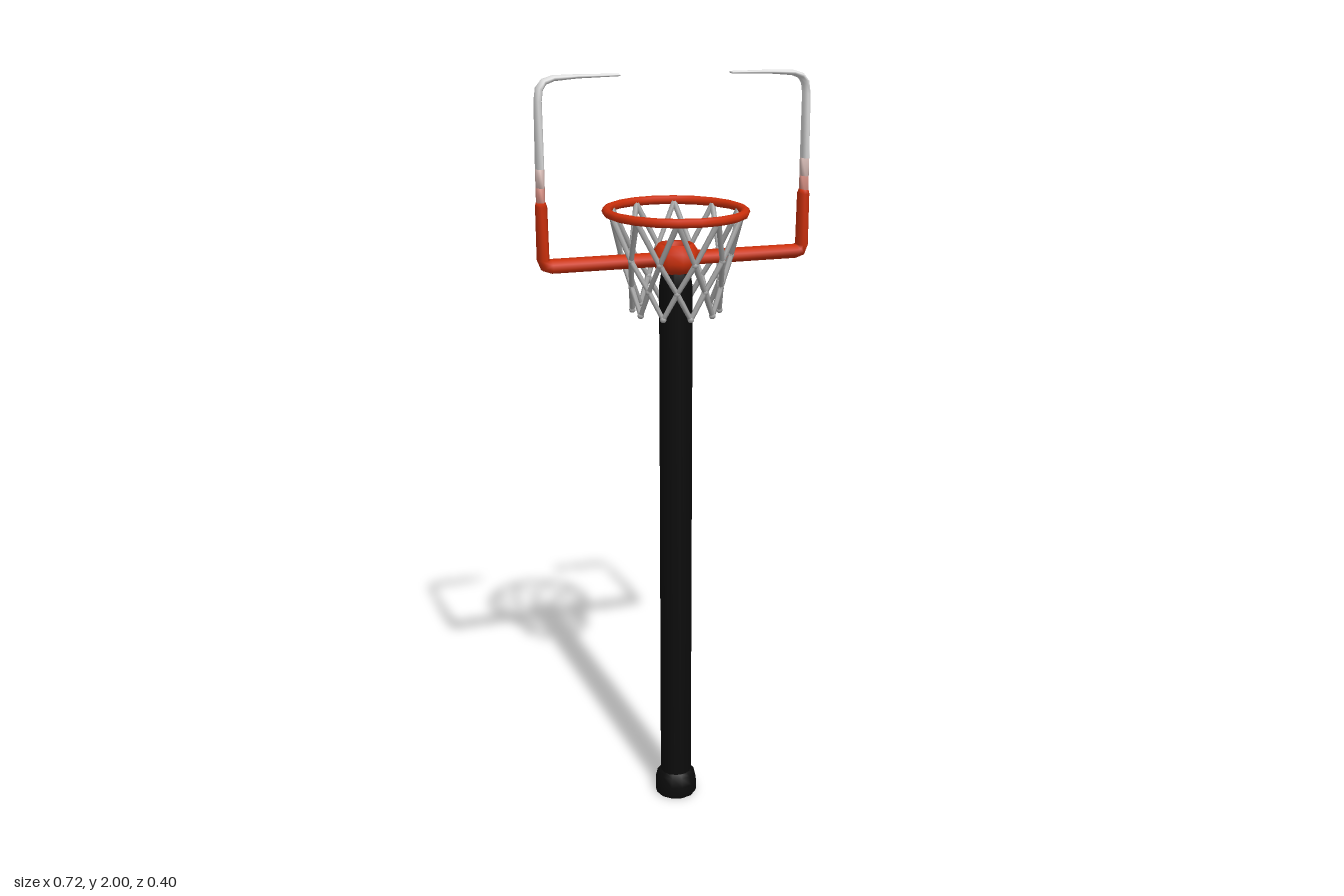
import * as THREE from 'three';

const mat = (name, color, extra = {}) => {
  const m = new THREE.MeshStandardMaterial({ color, ...extra });
  m.name = name;
  return m;
};

// Sweep an eight-sided oval along a path in the xy plane.
// Each point is [x, y, half thickness in plane, half depth in z].
function sweep(points, sides = 8) {
  const pos = [], index = [];
  const last = points.length - 1;
  points.forEach(([x, y, t, w], i) => {
    const a = points[Math.max(i - 1, 0)], b = points[Math.min(i + 1, last)];
    const d = new THREE.Vector2(b[0] - a[0], b[1] - a[1]).normalize();
    for (let j = 0; j < sides; j++) {
      const u = ((j + 0.5) / sides) * Math.PI * 2;
      const c = Math.cos(u) * t;
      pos.push(x - d.y * c, y + d.x * c, Math.sin(u) * w);
    }
  });
  for (let i = 0; i < last; i++) {
    for (let j = 0; j < sides; j++) {
      const p = i * sides + j, q = i * sides + ((j + 1) % sides);
      index.push(p, q, p + sides, q, q + sides, p + sides);
    }
  }
  // end caps
  for (let j = 1; j < sides - 1; j++) {
    const e = last * sides;
    index.push(0, j + 1, j, e, e + j, e + j + 1);
  }
  const g = new THREE.BufferGeometry();
  g.setAttribute('position', new THREE.Float32BufferAttribute(pos, 3));
  g.setIndex(index);
  g.computeVertexNormals();
  return g;
}

export function createModel() {
  const root = new THREE.Group();
  root.name = 'hoopOnPole';
  const black = mat('black', 0x0b0b0b);
  const orange = mat('orange', 0xcc300c, { side: THREE.DoubleSide });
  const white = mat('white', 0xe2e2e2);
  const pink = mat('fadedOrange', 0xdc9488);
  const palePink = mat('palePink', 0xe0c4be);
  const grey = mat('netGrey', 0xa6a6a6);

  const add = (name, geometry, material, parent = root) => {
    const m = new THREE.Mesh(geometry, material);
    m.name = name;
    parent.add(m);
    return m;
  };
  const lathe = (pts, sides) =>
    new THREE.LatheGeometry(pts.map(([r, y]) => new THREE.Vector2(r, y)), sides);

  // Pole with its foot collar
  add('pole', lathe([[0.043, 0.04], [0.043, 1.47], [0.03, 1.55], [0, 1.55]], 16), black);
  add('footCollar', lathe(
    [[0, 0], [0.056, 0], [0.059, 0.008], [0.059, 0.035], [0.053, 0.06], [0.043, 0.07]], 12), black);

  // Open hub on top of the pole
  add('hub', lathe(
    [[0.036, 1.505], [0.052, 1.515], [0.06, 1.535], [0.058, 1.56], [0.045, 1.58], [0.033, 1.578], [0.03, 1.55]], 10), orange);

  // Two mirrored brackets: arm, upright and tapering hooked tip
  for (const side of [1, -1]) {
    const bracket = new THREE.Group();
    bracket.name = side > 0 ? 'leftBracket' : 'rightBracket';
    bracket.rotation.y = side > 0 ? 0 : Math.PI;
    root.add(bracket);
    add('arm', sweep([
      [0.035, 1.541, 0.018, 0.028], [0.325, 1.541, 0.018, 0.027], [0.338, 1.545, 0.018, 0.027],
      [0.345, 1.558, 0.015, 0.026], [0.346, 1.69, 0.014, 0.026], [0.347, 1.7, 0.011, 0.022],
    ]), orange, bracket);
    add('fadedBand', sweep([[0.347, 1.69, 0.0105, 0.021], [0.347, 1.735, 0.0105, 0.021]]), pink, bracket);
    add('paleBand', sweep([[0.347, 1.735, 0.0105, 0.021], [0.347, 1.78, 0.0105, 0.021]]), palePink, bracket);
    add('hookedTip', sweep([
      [0.347, 1.78, 0.0105, 0.021], [0.347, 1.94, 0.009, 0.021], [0.343, 1.968, 0.009, 0.021],
      [0.331, 1.984, 0.008, 0.021], [0.308, 1.992, 0.007, 0.021], [0.25, 1.995, 0.005, 0.019],
      [0.145, 1.996, 0.003, 0.015],
    ]), white, bracket);
  }

  // Slightly oval rim
  const rimGeo = new THREE.TorusGeometry(0.174, 0.0115, 8, 20);
  rimGeo.rotateX(Math.PI / 2);
  const rim = add('rim', rimGeo, orange);
  rim.scale.z = 1.085;
  rim.position.y = 1.661;

  // Net of crossing cords, each row shifted by half a step
  const net = new THREE.Group();
  net.name = 'net';
  root.add(net);
  const count = 10;
  const rows = [[0.168, 1.657], [0.139, 1.55], [0.118, 1.475], [0.111, 1.408]];
  const knot = (row, step) => {
    const [r, y] = rows[row];
    const a = Math.PI / 2 + (step / count) * Math.PI * 2;
    return new THREE.Vector3(Math.cos(a) * r, y, Math.sin(a) * r * 1.07);
  };
  const up = new THREE.Vector3(0, 1, 0);
  const knotGeo = new THREE.IcosahedronGeometry(0.0085, 1);
  for (let row = 0; row < rows.length; row++) {
    for (let k = 0; k < count; k++) {
      const step = k + (row % 2 ? 0 : 0.5);
      const from = knot(row, step);
      if (row > 0) add('knot', knotGeo, grey, net).position.copy(from);
      if (row === rows.length - 1) continue;
      for (const shift of [-0.5, 0.5]) {
        const to = knot(row + 1, step + shift);
        const dir = to.clone().sub(from);
        const cord = add('cord', new THREE.CylinderGeometry(0.0065, 0.0075, dir.length(), 6, 1, true), grey, net);
        cord.position.copy(from).addScaledVector(dir, 0.5);
        cord.quaternion.setFromUnitVectors(up, dir.normalize());
      }
    }
  }
  return root;
}
